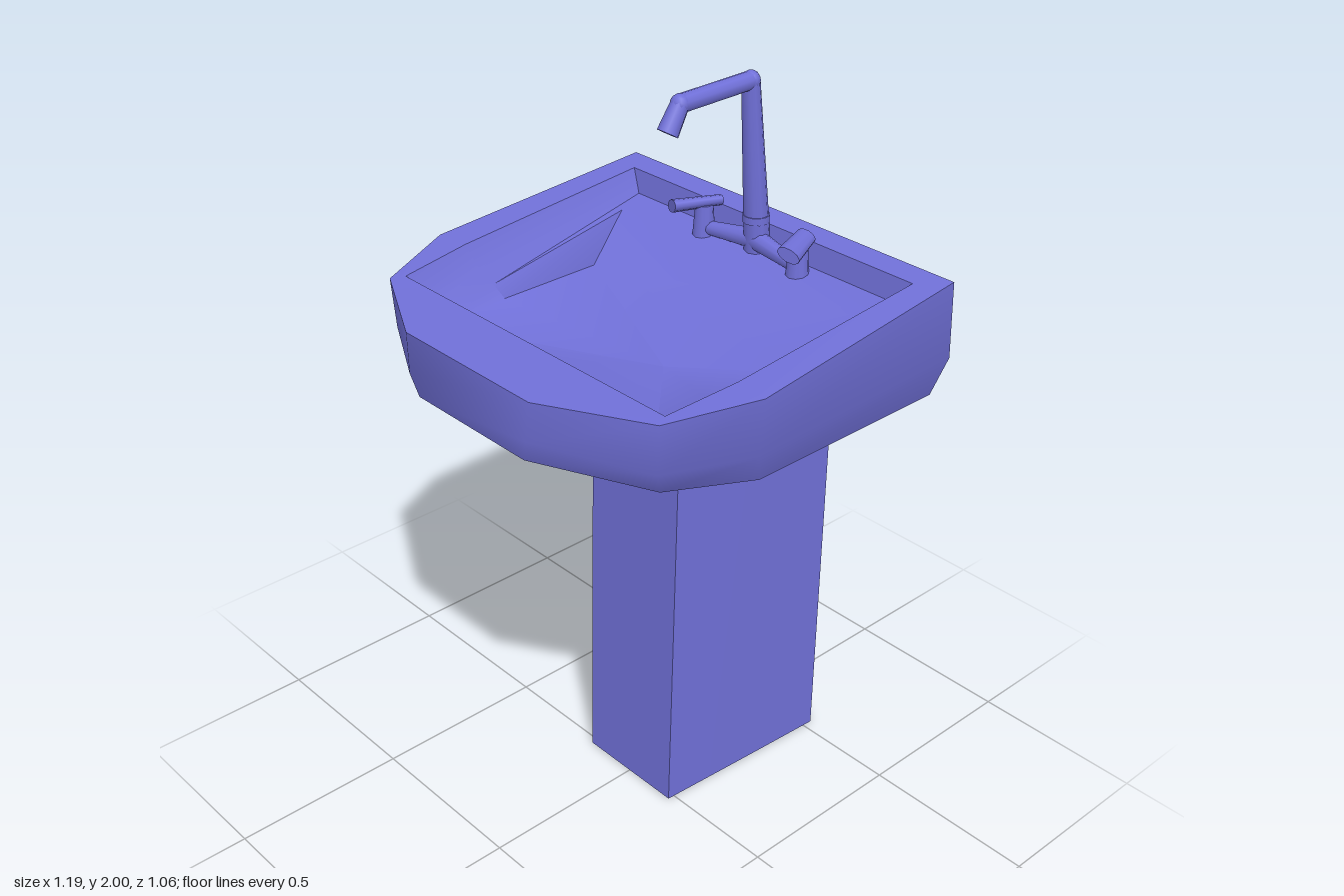
import * as THREE from 'three';
import { toCreasedNormals } from 'three/addons/utils/BufferGeometryUtils.js';

// Mirror half a ring (+x back to front) into a full ring (+x back, front, -x back)
const ring = (half) => [...half, ...half.slice().reverse().map(([x, y, z]) => [-x, y, z])];

// Skin a list of rings; closed joins the last point of each ring to the first
function loft(rings, closed, crease) {
  const n = rings[0].length, index = [];
  for (let r = 0; r < rings.length - 1; r++) {
    for (let i = 0; i < (closed ? n : n - 1); i++) {
      const a = r * n + i, b = r * n + (i + 1) % n;
      index.push(a, b, b + n, a, b + n, a + n);
    }
  }
  const g = new THREE.BufferGeometry();
  g.setAttribute('position', new THREE.Float32BufferAttribute(rings.flat(2), 3));
  g.setIndex(index);
  return toCreasedNormals(g, crease);
}

export function createModel() {
  const group = new THREE.Group();
  const enamel = new THREE.MeshStandardMaterial({ color: 0x7070d8, side: THREE.DoubleSide });
  enamel.name = 'blue enamel';

  const add = (name, geometry, parent = group) => {
    const m = new THREE.Mesh(geometry, enamel);
    m.name = name;
    parent.add(m);
    return m;
  };

  // Tapered round bar between two points
  const rod = (name, a, b, ra, rb, parent) => {
    const p = new THREE.Vector3(...a), q = new THREE.Vector3(...b);
    const d = q.clone().sub(p);
    const m = add(name, new THREE.CylinderGeometry(rb, ra, d.length(), 10), parent);
    m.position.copy(p).add(q).multiplyScalar(0.5);
    m.quaternion.setFromUnitVectors(new THREE.Vector3(0, 1, 0), d.normalize());
    return m;
  };

  // Rim height: level at the front, rising to the back
  const rimY = (z) => (z > 0.37 ? 1.505 : 1.505 + (0.37 - z) * 0.09);
  const onRim = (pts) => ring(pts.map(([x, z]) => [x, rimY(z), z]));

  // Basin: from the drain up the bowl, over the rim and down the outside
  const drain = ring(Array(4).fill([0, 1.28, -0.1]));
  const bowlLow = ring([[0.42, 1.38, -0.23], [0.42, 1.38, 0.08], [0.4, 1.38, 0.3], [0.2, 1.38, 0.3]]);
  const bowlMid = ring([[0.44, 1.5, -0.35], [0.44, 1.42, 0.1], [0.43, 1.42, 0.31], [0.22, 1.42, 0.31]]);
  const bowlTop = ring([[0.47, 1.515, -0.44], [0.47, 1.46, 0.12], [0.46, 1.46, 0.33], [0.22, 1.46, 0.33]]);
  const rimIn = onRim([[0.5, -0.45], [0.5, 0.14], [0.48, 0.345], [0.23, 0.345]]);
  const rimOut = onRim([[0.57, -0.52], [0.595, 0.15], [0.5, 0.38], [0.23, 0.525]]);
  const belly = ring([[0.575, 1.38, -0.525], [0.575, 1.36, 0.14], [0.49, 1.37, 0.375], [0.22, 1.4, 0.53]]);
  const under = ring([[0.53, 1.26, -0.52], [0.54, 1.27, 0.1], [0.45, 1.29, 0.33], [0.2, 1.34, 0.52]]);
  add('basin', loft([drain, bowlLow, bowlMid, bowlTop, rimIn, rimOut, belly, under], true, 0.85));

  // Pedestal: flares into the basin, open at the back, with a floor
  const post = (y, front) => ring([[0.2, y, -0.53], [0.188, y, -0.33], [0.177, y, -0.16], [0.165, y, front]]);
  const foot = post(0, 0.02);
  add('pedestal', loft([under, post(1.1, 0), foot], false, 0.85));
  add('pedestalFloor', loft([foot, foot.map(() => [0, 0, -0.25])], true, 0.85));

  // Tap: leaning column, level arm and turned-down nozzle
  const faucet = new THREE.Group();
  faucet.name = 'faucet';
  group.add(faucet);
  const spout = [[0, 1.5, -0.43], [0, 1.973, -0.383], [0, 1.97, -0.145], [0, 1.905, -0.105]];
  const radii = [0.036, 0.024, 0.024, 0.028];
  for (let i = 0; i < 3; i++) {
    rod(['column', 'spoutArm', 'nozzle'][i], spout[i], spout[i + 1], radii[i], radii[i + 1], faucet);
    if (i) add('spoutElbow', new THREE.SphereGeometry(0.025, 10, 8), faucet).position.set(...spout[i]);
  }
  add('spoutCollar', new THREE.CylinderGeometry(0.036, 0.036, 0.02, 12), faucet).position.set(0, 1.6, -0.42);

  // Handles, their stems and the bars linking them to the column
  for (const s of [-1, 1]) {
    rod('handleStem', [s * 0.17, 1.49, -0.4], [s * 0.17, 1.59, -0.4], 0.032, 0.024, faucet);
    const lever = rod('handleLever', [s * 0.155, 1.593, -0.445], [s * 0.21, 1.593, -0.32], 0.026, 0.032, faucet);
    lever.scale.z = 0.55;
    rod('linkBar', [0, 1.54, -0.42], [s * 0.17, 1.525, -0.4], 0.028, 0.018, faucet);
  }
  return group;
}
